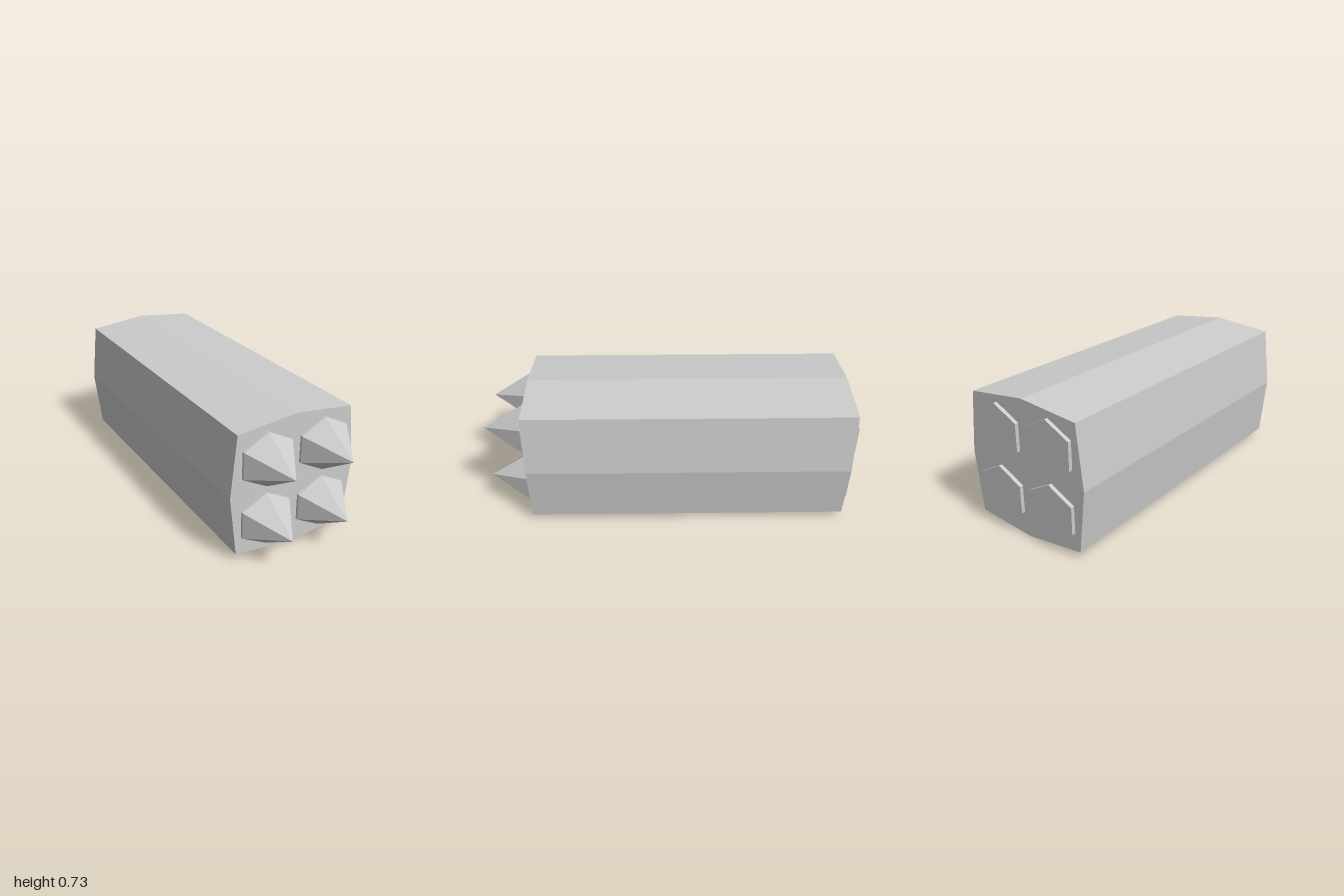
import * as THREE from 'three';

const MID_Y = 0.364;    // height of the long axis
const BACK = -0.98, FRONT = 0.765;   // ends of the casing
const SHOULDER = 0.778; // where each tip starts to taper

export function createModel() {
  const group = new THREE.Group();
  const material = new THREE.MeshStandardMaterial({ color: 0xcccccc, flatShading: true });

  // Casing: square section with each side bulging to a shallow ridge
  const c = 0.327, r = 0.363;
  const outline = [[r, 0], [c, c], [0, r], [-c, c], [-r, 0], [-c, -c], [0, -r], [c, -c]];
  const section = new THREE.Shape(outline.map(([x, y]) => new THREE.Vector2(x, y)));
  const casing = new THREE.Mesh(
    new THREE.ExtrudeGeometry(section, { depth: FRONT - BACK, bevelEnabled: false }),
    material
  );
  casing.name = 'casing';
  casing.position.set(0, MID_Y, BACK);
  group.add(casing);

  // Hexagonal prism or pyramid along z, slightly wider than regular
  const hexPart = (name, frontRadius, z0, z1) => {
    const geometry = new THREE.CylinderGeometry(frontRadius, 0.145, z1 - z0, 6);
    geometry.rotateX(Math.PI / 2).scale(1.08, 1, 1).translate(0, 0, (z0 + z1) / 2);
    const mesh = new THREE.Mesh(geometry, material);
    mesh.name = name;
    return mesh;
  };

  // Four rods running through the casing, each with a pointed tip
  for (const sx of [-1, 1]) {
    for (const sy of [-1, 1]) {
      const rod = new THREE.Group();
      rod.name = `${sy > 0 ? 'upper' : 'lower'}${sx > 0 ? 'Left' : 'Right'}Rod`;
      rod.add(hexPart('shaft', 0.145, -1, SHOULDER), hexPart('tip', 0, SHOULDER, 1));
      rod.position.set(sx * 0.1635, MID_Y + 0.001 + sy * 0.1635, 0);
      group.add(rod);
    }
  }
  return group;
}
